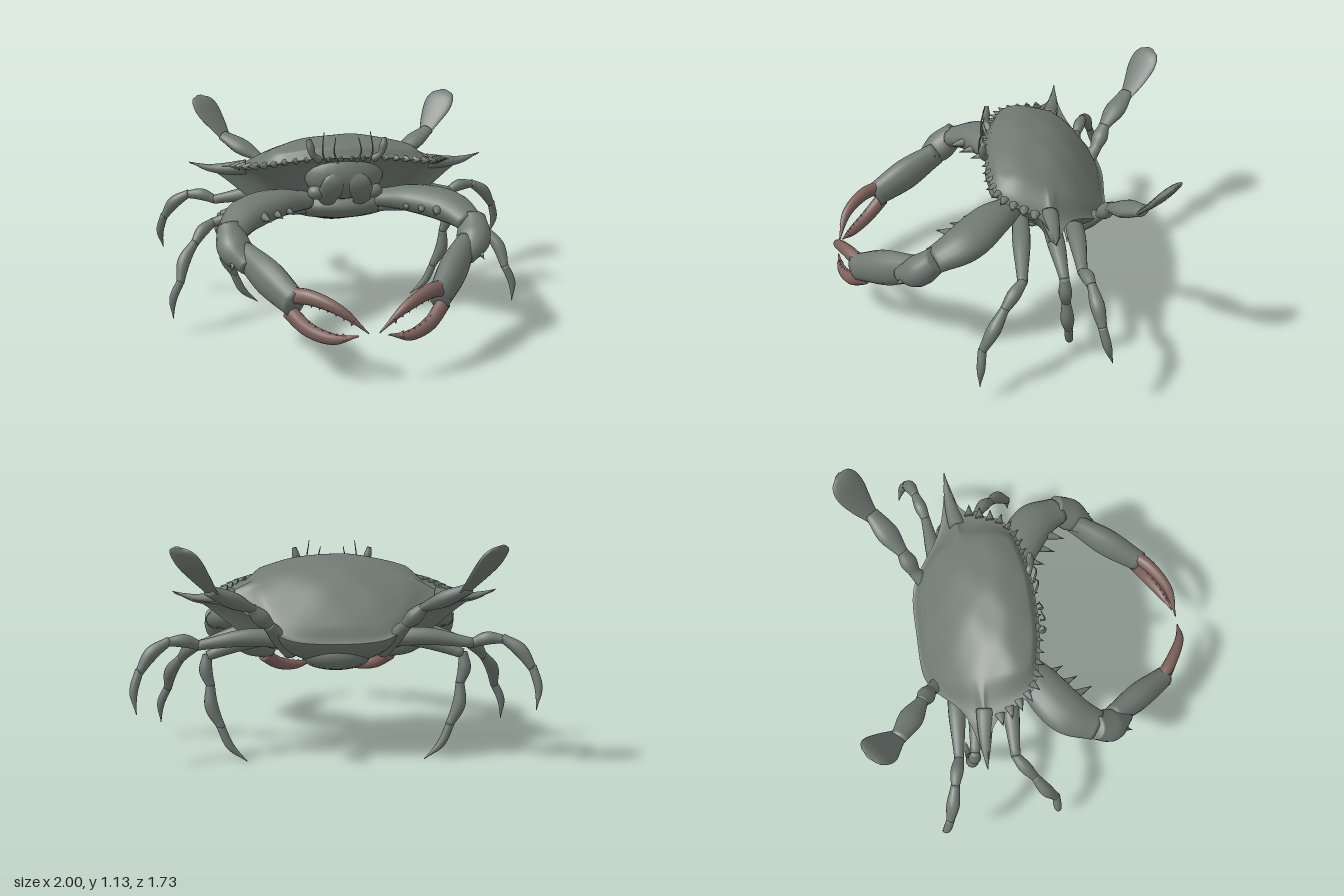
import * as THREE from 'three';

const shell = new THREE.MeshStandardMaterial({ color: 0x707974 });
shell.name = 'shell grey green';
const claw = new THREE.MeshStandardMaterial({ color: 0x7e625c });
claw.name = 'claw tip red brown';

const V = (p) => new THREE.Vector3(p[0], p[1], p[2]);
const smooth = THREE.MathUtils.smoothstep;

// Skin a stack of closed rings, each running counter-clockwise about the stacking direction
function skin(name, rings, mat) {
  const n = rings[0].length, pos = [], idx = [];
  rings.forEach((r) => r.forEach((p) => pos.push(p.x, p.y, p.z)));
  for (let i = 0; i < rings.length - 1; i++) {
    for (let j = 0; j < n; j++) {
      const a = i * n + j, b = i * n + (j + 1) % n;
      idx.push(a, b, a + n, b, b + n, a + n);
    }
  }
  const g = new THREE.BufferGeometry();
  g.setAttribute('position', new THREE.Float32BufferAttribute(pos, 3));
  g.setIndex(idx);
  g.computeVertexNormals();
  const m = new THREE.Mesh(g, mat);
  m.name = name;
  return m;
}

// Limb through points, with a half width for each; flat is height over width, hint the width direction
function limb(name, side, points, radii, flat = 1, hint = [0, 0, 1], mat = shell) {
  const path = new THREE.CatmullRomCurve3(points.map((p) => new THREE.Vector3(p[0] * side, p[1], p[2])));
  const size = new THREE.SplineCurve(radii.map((r, i) => new THREE.Vector2(i, r)));
  const steps = (points.length - 1) * 8, sides = 16, rings = [];
  for (let i = -1; i <= steps + 1; i++) {
    const t = Math.min(1, Math.max(0, i / steps)), cap = i < 0 || i > steps;
    const c = path.getPoint(t), T = path.getTangent(t);
    const r = cap ? 0 : Math.max(0.001, size.getPoint(t).y);
    const W = new THREE.Vector3(hint[0] * side, hint[1], hint[2]);
    W.addScaledVector(T, -W.dot(T)).normalize();
    const B = T.clone().cross(W), ring = [];
    for (let j = 0; j < sides; j++) {
      const a = j / sides * Math.PI * 2;
      ring.push(c.clone().addScaledVector(W, Math.cos(a) * r).addScaledVector(B, Math.sin(a) * r * flat));
    }
    rings.push(ring);
  }
  return skin(name, rings, mat);
}

// One limb piece between two joints, bowed up and outwards at its middle
function piece(name, side, a, b, radii, bow = 0, flat = 1, hint = [0, 0, 1]) {
  const mid = [(a[0] + b[0]) / 2 - (b[1] - a[1]) * bow, (a[1] + b[1]) / 2 + (b[0] - a[0]) * bow, (a[2] + b[2]) / 2];
  return limb(name, side, [a, mid, b], radii, flat, hint);
}

function blob(name, c, r) {
  const m = new THREE.Mesh(new THREE.SphereGeometry(1, 24, 16), shell);
  m.position.set(...c);
  m.scale.set(...r);
  m.name = name;
  return m;
}

function spike(name, side, from, to, r, mat = shell) {
  const a = V(from), b = V(to);
  a.x *= side;
  b.x *= side;
  const d = b.sub(a), m = new THREE.Mesh(new THREE.ConeGeometry(r, d.length(), 8), mat);
  m.position.copy(a).addScaledVector(d, 0.5);
  m.quaternion.setFromUnitVectors(new THREE.Vector3(0, 1, 0), d.normalize());
  m.name = name;
  return m;
}

// Half outline of the shell from front centre to back centre
const RIM = [[0, 0.92, 0.05], [0.15, 0.92, 0.045], [0.28, 0.905, 0.025], [0.4, 0.885, -0.005], [0.48, 0.87, -0.06],
  [0.57, 0.84, -0.23], [0.66, 0.83, -0.28], [0.8, 0.845, -0.31], [0.7, 0.81, -0.327],
  [0.5, 0.78, -0.385], [0.31, 0.68, -0.53], [0.22, 0.645, -0.567], [0, 0.63, -0.575]];

// Height of the shell: a ridge along its middle that falls away to the sides
const RIDGE = new THREE.SplineCurve([[0.06, 0.91], [0.02, 0.97], [-0.1, 1.01], [-0.2, 1], [-0.3, 0.965],
  [-0.4, 0.89], [-0.5, 0.765], [-0.58, 0.63]].map((p) => new THREE.Vector2(...p))).getPoints(70);
function shellHeight(x, z) {
  let i = 0;
  while (i < 69 && RIDGE[i + 1].x > z) i++;
  const a = RIDGE[i], b = RIDGE[i + 1];
  const k = Math.min(1, Math.max(0, (a.x - z) / (a.x - b.x)));
  return a.y + (b.y - a.y) * k - 0.48 * x * x + 0.003 * Math.sin(x * 22) * Math.sin(z * 25);
}

function body() {
  const g = new THREE.Group();
  g.name = 'body';
  const all = RIM.concat(RIM.slice(1, -1).reverse().map((p) => [-p[0], p[1], p[2]]));
  const rim = new THREE.CatmullRomCurve3(all.map(V), true).getPoints(192).slice(0, -1);
  const cz = -0.25;
  // Domed top, blending from the rim into the ridge height
  const top = [];
  for (let i = 0; i <= 28; i++) {
    const t = (i / 28) ** 1.3;
    top.push(rim.map((p) => {
      const x = p.x * (1 - t), z = cz + (p.z - cz) * (1 - t);
      // Only the long side spines need a slow blend
      const s = smooth(t, 0, 0.12 + 0.28 * smooth(Math.abs(p.x), 0.35, 0.65));
      return new THREE.Vector3(x, p.y * (1 - s) + shellHeight(x, z) * s, z);
    }));
  }
  g.add(skin('carapace', top, shell));
  // Underside drawn in towards the belly, full and round at the back
  const under = [];
  for (let i = 0; i <= 16; i++) {
    const k = Math.sin(i / 16 * Math.PI / 2);
    under.push(rim.map((p) => {
      const z = cz + (p.z - cz) * k, back = smooth(-p.z, 0.38, 0.55);
      const f = (1 - smooth(k, 0.35, 1)) * (1 - back) + (1 - k * k) ** 0.8 * back;
      return new THREE.Vector3(p.x * k, p.y * (1 - f) + (0.66 + 0.42 * z) * f, z);
    }));
  }
  g.add(skin('underside', under, shell));
  // Mouth, breast plate and folded tail
  g.add(blob('face', [0, 0.81, -0.06], [0.21, 0.13, 0.1]));
  g.add(blob('breastPlate', [0, 0.63, -0.24], [0.28, 0.09, 0.2]));
  for (let i = 0; i < 4; i++) {
    g.add(blob('tailSegment', [0, 0.6 - i * 0.022, -0.2 - i * 0.075], [0.27 - i * 0.035, 0.06, 0.085]));
  }
  g.add(blob('tailFlap', [0, 0.56, -0.44], [0.17, 0.08, 0.11]));
  return g;
}

// Side spine, teeth, eyes, feelers and mouthparts of one side
function faceDetails(s) {
  const g = new THREE.Group();
  g.name = 'faceDetails';
  g.add(limb('sideSpine', s, [[0.5, 0.82, -0.28], [0.6, 0.812, -0.295], [0.7, 0.818, -0.305], [0.805, 0.852, -0.31]],
    [0.045, 0.036, 0.022, 0.002], 0.9));
  const edge = new THREE.CatmullRomCurve3(RIM.slice(1, 6).map(V));
  for (let i = 0; i < 9; i++) {
    const t = 0.12 + i * 0.105, p = edge.getPointAt(t), d = edge.getTangentAt(t);
    const out = new THREE.Vector3(-d.z, 0.1, d.x).normalize().addScaledVector(d, 0.35);
    g.add(spike('edgeTooth', s, p.clone().addScaledVector(out, -0.02).toArray(),
      p.clone().addScaledVector(out, 0.02 + 0.025 * t).toArray(), 0.016 + 0.01 * t));
  }
  for (const x of [0.03, 0.09]) g.add(spike('browTooth', s, [x, 0.915, 0.03], [x, 0.925, 0.068], 0.016));
  g.add(limb('eyeStalk', s, [[0.14, 0.91, 0.03], [0.175, 0.94, 0.05], [0.19, 0.985, 0.052], [0.197, 1.025, 0.05]],
    [0.02, 0.016, 0.02, 0.012]));
  for (const [x, h] of [[0.05, 0.13], [0.11, 0.16]]) {
    g.add(limb('feeler', s, [[x, 0.9, 0.06], [x + 0.02, 0.96, 0.075], [x + 0.01, 0.9 + h, 0.055]], [0.006, 0.004, 0.002]));
  }
  g.add(limb('mouthPlate', s, [[0.02, 0.85, 0.02], [0.065, 0.78, 0.025], [0.09, 0.7, -0.01], [0.08, 0.65, -0.07]],
    [0.02, 0.06, 0.055, 0.03], 0.35, [1, 0, 0]));
  g.add(blob('cheek', [s * 0.15, 0.73, -0.02], [0.05, 0.04, 0.045]));
  return g;
}

function clawArm(s) {
  const g = new THREE.Group(), thin = [0.3, 0, 0.2];
  g.name = 'clawArm';
  g.add(limb('upperArm', s, [[0.2, 0.67, -0.1], [0.37, 0.685, 0.01], [0.53, 0.66, 0.125], [0.612, 0.61, 0.27]],
    [0.07, 0.105, 0.115, 0.08], 0.7, [1, 0, -1]));
  g.add(piece('wrist', s, [0.62, 0.63, 0.25], [0.54, 0.48, 0.44], [0.07, 0.088, 0.05], 0.15, 0.9, thin));
  g.add(piece('palm', s, [0.56, 0.525, 0.36], [0.345, 0.367, 0.695], [0.052, 0.07, 0.055], 0, 1.35, thin));
  const fingers = [[-1, [[0.375, 0.405, 0.665], [0.28, 0.415, 0.745], [0.15, 0.37, 0.825], [0.025, 0.265, 0.855]]],
    [1, [[0.375, 0.325, 0.66], [0.29, 0.255, 0.74], [0.18, 0.228, 0.81], [0.07, 0.25, 0.845]]]];
  for (const [up, points] of fingers) {
    g.add(limb(up < 0 ? 'upperFinger' : 'lowerFinger', s, points, [0.035, 0.032, 0.023, 0.003], 1.15, thin, claw));
    // Biting teeth
    const c = new THREE.CatmullRomCurve3(points.map(V));
    for (let i = 0; i < 6; i++) {
      const p = c.getPoint(0.36 + i * 0.09).toArray();
      g.add(spike('fingerTooth', s, p, [p[0] + 0.01, p[1] + up * (0.048 - i * 0.004), p[2]], 0.018, claw));
    }
  }
  // Thorns on the arm and wrist
  for (let i = 0; i < 3; i++) {
    const x = 0.29 + i * 0.065, z = 0.09 + i * 0.065;
    g.add(spike('armThorn', s, [x + 0.03, 0.665, z - 0.03], [x - 0.005, 0.655, z + 0.06], 0.025));
  }
  g.add(spike('wristThorn', s, [0.61, 0.52, 0.38], [0.63, 0.47, 0.465], 0.03));
  g.add(spike('wristThorn', s, [0.54, 0.53, 0.34], [0.49, 0.54, 0.37], 0.025));
  return g;
}

// Joints of the walking legs from body to toe, front pair first
const LEGS = [
  [[0.22, 0.62, -0.14], [0.69, 0.55, -0.16], [0.795, 0.46, -0.075], [0.877, 0.28, 0.025], [0.92, 0.09, 0.035]],
  [[0.22, 0.62, -0.28], [0.637, 0.535, -0.362], [0.622, 0.385, -0.375], [0.571, 0.175, -0.395], [0.445, 0.003, -0.41]],
  [[0.2, 0.61, -0.4], [0.675, 0.605, -0.445], [0.815, 0.631, -0.483], [0.952, 0.495, -0.534], [0.965, 0.3, -0.59]],
];
const PIECES = [['thigh', [0.04, 0.045, 0.025]], ['knee', [0.023, 0.033, 0.022]],
  ['shin', [0.022, 0.034, 0.021]], ['foot', [0.021, 0.02, 0.002]]];

function walkingLeg(s, joints) {
  const g = new THREE.Group();
  g.name = 'walkingLeg';
  PIECES.forEach(([name, radii], i) => {
    // Each piece starts a little inside the one before
    const start = V(joints[i]).lerp(V(joints[i + 1]), -0.05).toArray();
    g.add(piece(name, s, start, joints[i + 1], radii, i ? 0.1 : 0.06));
  });
  return g;
}

function swimLeg(s) {
  const g = new THREE.Group(), wide = [0.7, -0.05, 0.65];
  g.name = 'swimmingLeg';
  g.add(piece('hip', s, [0.22, 0.57, -0.42], [0.335, 0.725, -0.548], [0.05, 0.046, 0.03], 0, 0.9, wide));
  g.add(piece('hipJoint', s, [0.322, 0.71, -0.535], [0.41, 0.81, -0.585], [0.03, 0.046, 0.03], 0, 0.85, wide));
  g.add(piece('arm', s, [0.395, 0.8, -0.575], [0.6, 0.915, -0.71], [0.03, 0.06, 0.04], 0, 0.65, wide));
  g.add(limb('paddle', s, [[0.585, 0.9, -0.705], [0.63, 0.97, -0.75], [0.672, 1.035, -0.785], [0.7, 1.085, -0.81],
    [0.717, 1.113, -0.828], [0.727, 1.13, -0.84]], [0.04, 0.068, 0.089, 0.086, 0.064, 0.018], 0.22, wide));
  return g;
}

export function createModel() {
  const model = new THREE.Group();
  model.name = 'crab';
  model.add(body());
  for (const s of [1, -1]) {
    const half = new THREE.Group();
    half.name = s > 0 ? 'leftSide' : 'rightSide';
    half.add(faceDetails(s), clawArm(s), swimLeg(s));
    LEGS.forEach((joints) => half.add(walkingLeg(s, joints)));
    model.add(half);
  }
  return model;
}
